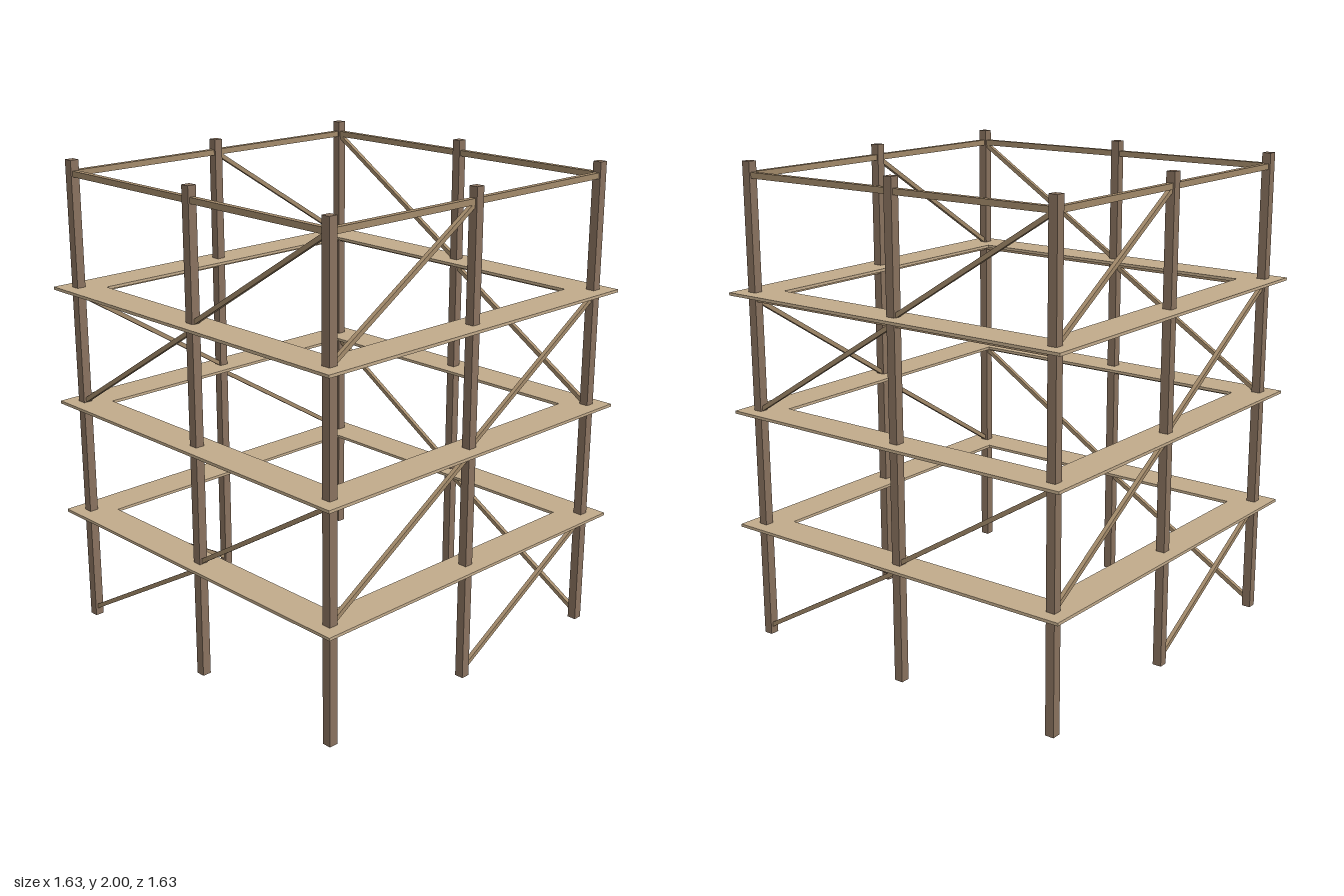
import * as THREE from 'three';

const HALF = 0.74;                       // post line
const LEVELS = [0.488, 0.98, 1.472];     // deck heights
const RAILS = [0.47, 0.962, 1.453, 1.945];
const LOWS = [0.03, 0.495, 0.985, 1.475]; // lower brace ends
const HIGHS = [0.465, 0.957, 1.45, 1.942];

const wood = (color) => new THREE.MeshStandardMaterial({ color });

export function createModel() {
  const model = new THREE.Group();
  model.name = 'scaffold';
  const postWood = wood(0x8b7460), railWood = wood(0xa58c6c), deckWood = wood(0xc4ad8d);

  const add = (name, geometry, material, parent = model) => {
    const mesh = new THREE.Mesh(geometry, material);
    mesh.name = name;
    parent.add(mesh);
    return mesh;
  };

  // Eight posts: corners and side middles
  for (const x of [-1, 0, 1]) for (const z of [-1, 0, 1]) {
    if (!x && !z) continue;
    add('post', new THREE.BoxGeometry(0.038, 2, 0.038), postWood).position.set(x * HALF, 1, z * HALF);
  }

  // Walkway frames with an open middle
  const square = (Type, h) => new Type([[-h, -h], [h, -h], [h, h], [-h, h]].map(([x, y]) => new THREE.Vector2(x, y)));
  const frame = square(THREE.Shape, 0.813);
  frame.holes.push(square(THREE.Path, 0.66));
  const deckGeometry = new THREE.ExtrudeGeometry(frame, { depth: 0.012, bevelEnabled: false });
  deckGeometry.rotateX(-Math.PI / 2).translate(0, -0.006, 0);
  LEVELS.forEach((y) => { add('walkway', deckGeometry, deckWood).position.y = y; });

  // Four sides, each built facing +z and turned into place
  ['frontSide', 'leftSide', 'backSide', 'rightSide'].forEach((name, i) => {
    const side = new THREE.Group();
    side.name = name;
    side.rotation.y = i * Math.PI / 2;
    model.add(side);

    // Horizontal rails
    for (const y of RAILS) {
      const rail = add('rail', new THREE.BoxGeometry(2 * HALF, 0.024, 0.024), railWood, side);
      rail.position.set(0, y, HALF);
    }

    // One brace per storey, swapping bays; neighbouring sides slope opposite ways
    for (let s = 0; s < 4; s++) {
      const outward = (s + i) % 2 === 0;
      const rise = HIGHS[s] - LOWS[s];
      const brace = add('brace', new THREE.BoxGeometry(Math.hypot(HALF, rise), 0.018, 0.018), railWood, side);
      brace.position.set((outward ? 1 : -1) * HALF / 2, (HIGHS[s] + LOWS[s]) / 2, HALF);
      brace.rotation.z = Math.atan2(rise, HALF);
    }
  });

  return model;
}
